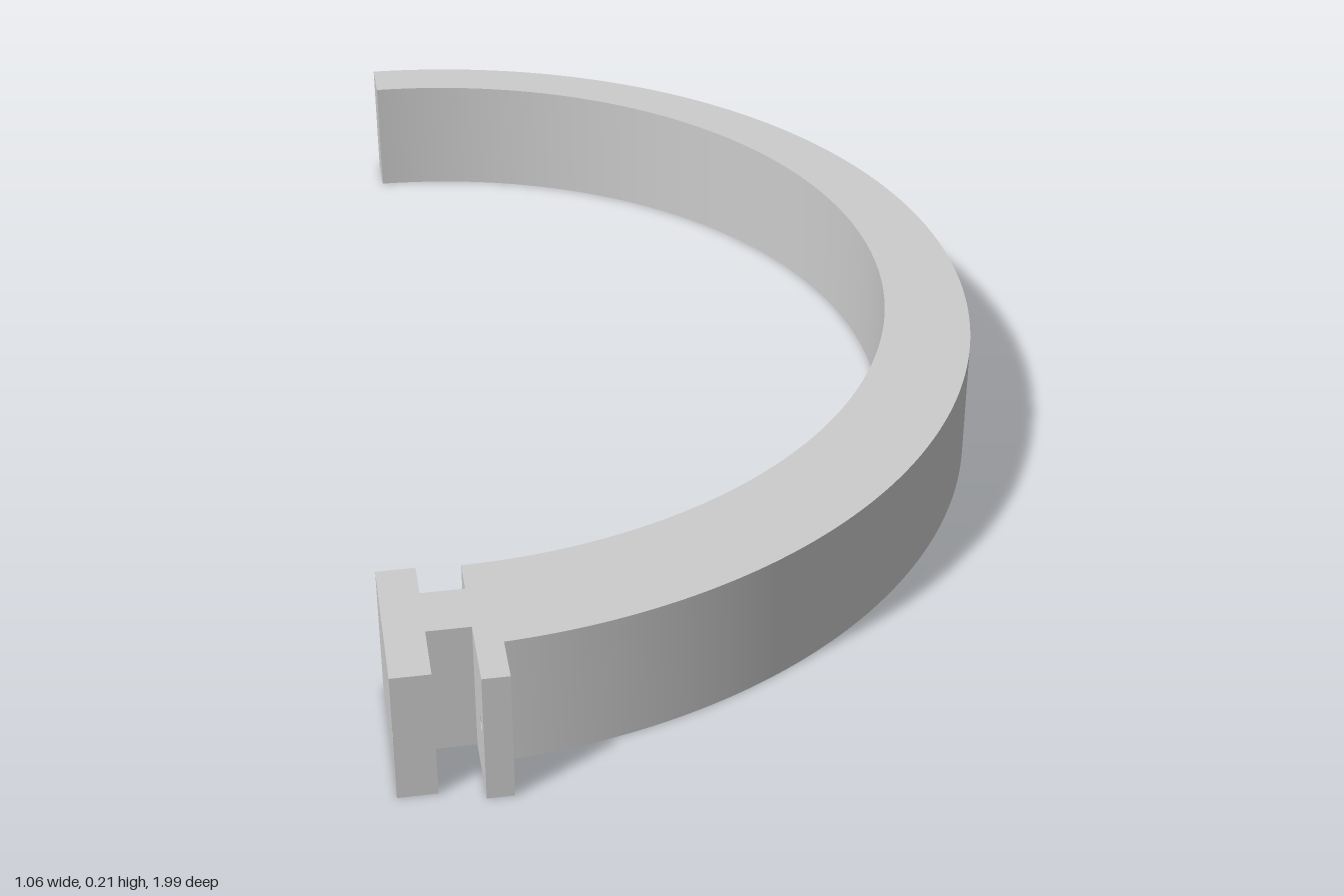
import * as THREE from 'three';
import { toCreasedNormals } from 'three/addons/utils/BufferGeometryUtils.js';

const HEIGHT = 0.21;
const material = new THREE.MeshStandardMaterial({ color: 0xcccccc });

function addMesh(group, name, geometry) {
  const mesh = new THREE.Mesh(geometry, material);
  mesh.name = name;
  group.add(mesh);
}

// Crescent band: two eccentric arcs, thicker toward the clamp end
function bandGeometry(endX) {
  const outer = { x: -0.43, y: 0.04, r: 0.96 };
  const inner = { x: -0.42, y: 0.09, r: 0.82 };
  const a = Math.acos((endX - outer.x) / outer.r);
  const b = Math.acos((endX - inner.x) / inner.r);
  const shape = new THREE.Shape();
  shape.absarc(outer.x, outer.y, outer.r, a, -a, true);
  shape.absarc(inner.x, inner.y, inner.r, -b, b, false);
  shape.closePath();
  const geometry = new THREE.ExtrudeGeometry(shape, { depth: HEIGHT, bevelEnabled: false, curveSegments: 96 });
  geometry.rotateX(-Math.PI / 2);
  return toCreasedNormals(geometry, 0.5);
}

// Upright plate from x0 to x1 and z0 to z1, with a small pin hole along x
function drilledPlate(x0, x1, z0, z1) {
  const shape = new THREE.Shape();
  shape.moveTo(-z1, 0);
  shape.lineTo(-z0, 0);
  shape.lineTo(-z0, HEIGHT);
  shape.lineTo(-z1, HEIGHT);
  shape.closePath();
  const hole = new THREE.Path();
  hole.absarc(-0.96, HEIGHT / 2, 0.011, 0, Math.PI * 2, true);
  shape.holes.push(hole);
  const geometry = new THREE.ExtrudeGeometry(shape, { depth: x1 - x0, bevelEnabled: false, curveSegments: 24 });
  geometry.rotateY(Math.PI / 2);
  geometry.translate(x0, 0, 0);
  return toCreasedNormals(geometry, 0.5);
}

export function createModel() {
  const group = new THREE.Group();
  group.name = 'halfRingClamp';

  addMesh(group, 'band', bandGeometry(-0.41));

  // Flange ear, neck and end plate
  addMesh(group, 'flange', drilledPlate(-0.41, -0.37, 0.915, 0.995));
  addMesh(group, 'endPlate', drilledPlate(-0.533, -0.475, 0.725, 0.973));
  const neck = new THREE.BoxGeometry(0.065, HEIGHT, 0.09);
  neck.translate(-0.4425, HEIGHT / 2, 0.832);
  addMesh(group, 'neck', neck);

  return group;
}
